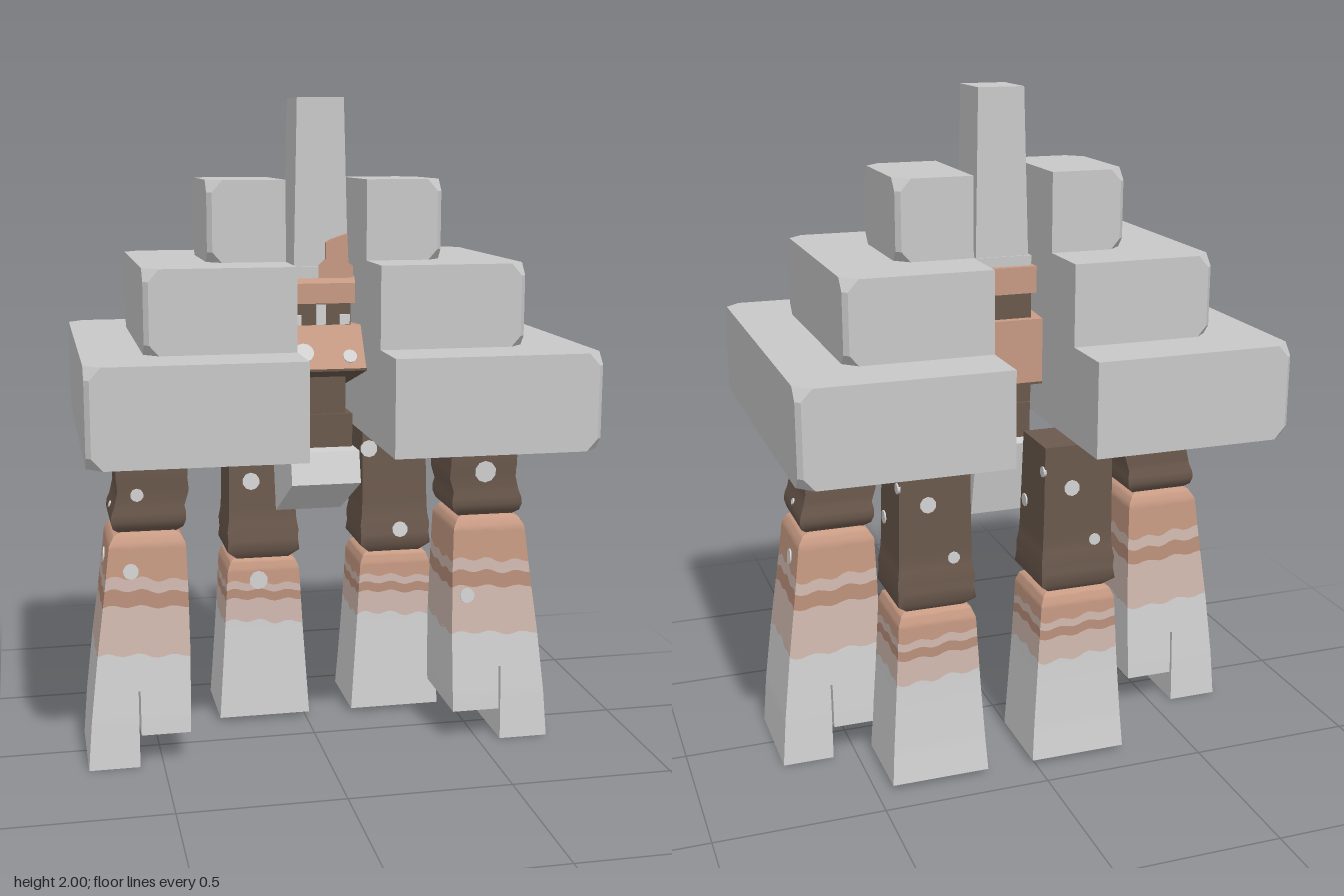
import * as THREE from 'three';
import { ConvexGeometry } from 'three/addons/geometries/ConvexGeometry.js';

const mat = (name, color) => {
  const m = new THREE.MeshStandardMaterial({ color });
  m.name = name;
  return m;
};

export function createModel() {
  const stone = mat('stone grey', 0xc8c8c8);
  const pale = mat('pale grey', 0xd3d3d3);
  const brown = mat('dark brown', 0x6b594d);
  const clay = mat('terracotta', 0xc79a83);
  const darkClay = mat('dark terracotta', 0xb98f7a);
  const pink = mat('dusty pink', 0xd0b9af);
  const root = new THREE.Group();
  root.name = 'steppedGolem';

  const add = (parent, name, geometry, material) => {
    const m = new THREE.Mesh(geometry, material);
    m.name = name;
    parent.add(m);
    return m;
  };

  // Side profile of [z, y] points, extruded between two x positions
  const prism = (parent, name, material, pts, x0, x1) => {
    const shape = new THREE.Shape(pts.map(([z, y]) => new THREE.Vector2(z, y)));
    const g = new THREE.ExtrudeGeometry(shape, { depth: x1 - x0, bevelEnabled: false });
    g.rotateY(-Math.PI / 2).translate(x1, 0, 0);
    return add(parent, name, g, material);
  };
  const block = (parent, name, material, x0, x1, y0, y1, z0, z1) =>
    prism(parent, name, material, [[z0, y0], [z1, y0], [z1, y1], [z0, y1]], x0, x1);

  // Stepped body: two halves, each with three tiers clipped at the outer corners
  const tier = (side, xOut, y0, y1, z) => {
    const pts = [], c = 0.045, e = 0.014;
    const p = (x, y, zz) => pts.push(new THREE.Vector3(side * x, y, zz));
    for (const s of [-1, 1]) {
      for (const [y, d] of [[y0, 1], [y1, -1]]) {
        p(0.12, y, s * z);
        p(xOut - c, y, s * z);
        p(xOut, y, s * (z - c));
        p(xOut - e, y + d * 0.035, s * z);
        p(xOut, y + d * 0.035, s * (z - e));
      }
    }
    return new ConvexGeometry(pts);
  };
  for (const side of [-1, 1]) {
    const half = new THREE.Group();
    half.name = side > 0 ? 'leftBodyHalf' : 'rightBodyHalf';
    root.add(half);
    add(half, 'lowerTier', tier(side, 0.725, 1.01, 1.29, 0.54), stone);
    add(half, 'middleTier', tier(side, 0.55, 1.285, 1.53, 0.362), stone);
    add(half, 'upperTier', tier(side, 0.348, 1.525, 1.765, 0.18), stone);
  }

  // Limb outline: stations of [y, x0, x1, z0, z1], interpolated by height
  const boundsAt = (st, y) => {
    let i = 0;
    while (i < st.length - 2 && y < st[i + 1][0]) i++;
    const a = st[i], b = st[i + 1];
    const t = THREE.MathUtils.clamp((a[0] - y) / (a[0] - b[0]), 0, 1);
    return [1, 2, 3, 4].map(k => a[k] + (b[k] - a[k]) * t);
  };
  const corner = ([x0, x1, z0, z1], s) => [[x0, z1], [x1, z1], [x1, z0], [x0, z0]][s % 4];
  const wave = (amp, p) => amp * (Math.sin(6 * Math.PI * p + 0.7) * 0.5 + Math.sin(22 * Math.PI * p) * 0.5);

  // Four-sided skin between two heights, with optional wavy borders and flat caps
  const skin = (st, yTop, yBot, ampTop = 0, ampBot = 0, caps = false) => {
    const pos = [], idx = [], cols = 14, rows = 14;
    for (let s = 0; s < 4; s++) {
      const base = pos.length / 3;
      for (let j = 0; j <= rows; j++) for (let i = 0; i <= cols; i++) {
        const t = i / cols, p = (s + t) / 4;
        const hi = yTop + wave(ampTop, p), lo = yBot + wave(ampBot, p);
        const y = hi + (lo - hi) * j / rows, b = boundsAt(st, y);
        const a = corner(b, s), c = corner(b, s + 1);
        pos.push(a[0] + (c[0] - a[0]) * t, y, a[1] + (c[1] - a[1]) * t);
        if (i < cols && j < rows) {
          const k = base + j * (cols + 1) + i, n = k + cols + 1;
          idx.push(k, n, k + 1, k + 1, n, n + 1);
        }
      }
    }
    if (caps) for (const [y, up] of [[yTop, true], [yBot, false]]) {
      const k = pos.length / 3, b = boundsAt(st, y);
      for (let s = 0; s < 4; s++) { const c = corner(b, s); pos.push(c[0], y, c[1]); }
      idx.push(...(up ? [k, k + 1, k + 2, k, k + 2, k + 3] : [k, k + 2, k + 1, k, k + 3, k + 2]));
    }
    const g = new THREE.BufferGeometry();
    g.setAttribute('position', new THREE.Float32BufferAttribute(pos, 3));
    g.setIndex(idx);
    g.computeVertexNormals();
    return g;
  };

  // Thin round spot on a limb; face is f, b, l (+x) or r (-x), u runs across the face
  const spot = (parent, st, face, u, y, r) => {
    const at = yy => {
      const [x0, x1, z0, z1] = boundsAt(st, yy);
      const x = x0 + (x1 - x0) * u, z = z0 + (z1 - z0) * u;
      return new THREE.Vector3(...{ f: [x, yy, z1], b: [x, yy, z0], l: [x1, yy, z], r: [x0, yy, z] }[face]);
    };
    const across = new THREE.Vector3(...{ f: [1, 0, 0], b: [-1, 0, 0], l: [0, 0, -1], r: [0, 0, 1] }[face]);
    const n = across.cross(at(y + 0.02).sub(at(y - 0.02))).normalize();
    const m = add(parent, 'spot', new THREE.CylinderGeometry(r, r, 0.009, 10), pale);
    m.position.copy(at(y));
    m.quaternion.setFromUnitVectors(new THREE.Vector3(0, 1, 0), n);
  };

  // Painted lower limb: bands of [material, top height, wave], ending at yEnd
  const bands = (parent, st, list, yEnd) => list.forEach(([m, y, amp], i) => {
    const next = list[i + 1] || [0, yEnd, 0];
    add(parent, 'lowerLimbBand', skin(st, y, next[1], amp, next[2], i === 0 || i === list.length - 1 && true), m);
  });

  // Arms, outlined for the +x side and flipped for the other
  const flip = (st, side) => side > 0 ? st : st.map(([y, a, b, c, d]) => [y, -b, -a, c, d]);
  const upperArm = [[1.02, 0.4, 0.62, -0.105, 0.115], [0.89, 0.41, 0.622, -0.105, 0.115],
    [0.85, 0.405, 0.618, -0.108, 0.112], [0.8, 0.42, 0.63, -0.108, 0.112], [0.77, 0.412, 0.642, -0.118, 0.118],
    [0.74, 0.42, 0.638, -0.112, 0.112], [0.715, 0.45, 0.61, -0.08, 0.08]];
  const lowerArm = [[0.727, 0.46, 0.6, -0.08, 0.08], [0.718, 0.435, 0.63, -0.105, 0.105],
    [0.69, 0.418, 0.648, -0.12, 0.124], [0.55, 0.414, 0.665, -0.128, 0.132], [0.35, 0.412, 0.692, -0.14, 0.145],
    [0.15, 0.415, 0.715, -0.15, 0.156], [0, 0.42, 0.727, -0.155, 0.16]];
  for (const side of [-1, 1]) {
    const arm = new THREE.Group();
    arm.name = side > 0 ? 'leftArm' : 'rightArm';
    root.add(arm);
    const up = flip(upperArm, side), low = flip(lowerArm, side);
    add(arm, 'upperArm', skin(up, 1.02, 0.715, 0, 0, true), brown);
    bands(arm, low, [[clay, 0.727, 0], [pink, 0.585, 0.014], [darkClay, 0.548, 0.012],
      [pink, 0.5, 0.01], [pale, 0.35, 0.012]], 0.24);
    // Hand: a short thumb on the inside and long fingers outside
    const thumb = flip(lowerArm.map(s => [s[0], s[1], 0.566, s[3], s[4]]), side);
    const fingers = flip(lowerArm.map(s => [s[0], 0.572, s[2], s[3], s[4]]), side);
    add(arm, 'thumb', skin(thumb, 0.24, 0.1, 0, 0, true), pale);
    add(arm, 'fingers', skin(fingers, 0.24, 0, 0, 0, true), pale);
    const out = side > 0 ? 'l' : 'r';
    spot(arm, up, 'f', side > 0 ? 0.53 : 0.28, side > 0 ? 0.865 : 0.84, side > 0 ? 0.034 : 0.02);
    spot(arm, up, out, 0.5, 0.79, 0.01);
    spot(arm, up, 'b', 0.4, 0.88, 0.022);
    spot(arm, low, 'f', side > 0 ? 0.18 : 0.3, side > 0 ? 0.475 : 0.61, 0.024);
    spot(arm, low, out, 0.4, 0.625, 0.024);
  }

  // Rear legs, outlined around x = 0
  const thigh = [[1.0, -0.105, 0.105, -0.37, -0.19], [0.8, -0.107, 0.107, -0.37, -0.175],
    [0.68, -0.109, 0.109, -0.368, -0.168], [0.64, -0.116, 0.116, -0.378, -0.16], [0.61, -0.113, 0.113, -0.372, -0.158],
    [0.58, -0.12, 0.12, -0.386, -0.15], [0.555, -0.11, 0.11, -0.375, -0.155], [0.54, -0.08, 0.08, -0.35, -0.18]];
  const shin = [[0.55, -0.08, 0.08, -0.345, -0.19], [0.54, -0.105, 0.105, -0.37, -0.165],
    [0.51, -0.117, 0.117, -0.382, -0.156], [0.3, -0.129, 0.129, -0.386, -0.153], [0.12, -0.141, 0.141, -0.393, -0.148],
    [0.015, -0.148, 0.148, -0.402, -0.145]];
  for (const cx of [-0.137, 0.302]) {
    const leg = new THREE.Group();
    leg.name = cx > 0 ? 'leftLeg' : 'rightLeg';
    leg.position.x = cx;
    root.add(leg);
    add(leg, 'thigh', skin(thigh, 1.0, 0.54, 0, 0, true), brown);
    bands(leg, shin, [[clay, 0.55, 0], [pink, 0.465, 0.012], [darkClay, 0.44, 0.01],
      [pink, 0.41, 0.01], [pale, 0.335, 0.014]], 0.015);
    spot(leg, thigh, 'f', cx > 0 ? 0.1 : 0.33, cx > 0 ? 0.89 : 0.8, 0.028);
    if (cx > 0) spot(leg, thigh, 'f', 0.57, 0.62, 0.026);
    else spot(leg, shin, 'f', 0.43, 0.475, 0.03);
    spot(leg, thigh, 'l', 0.8, 0.79, 0.02);
    spot(leg, thigh, 'l', 0.07, 0.925, 0.016);
    spot(leg, thigh, 'r', 0.4, 0.85, 0.022);
    spot(leg, thigh, 'b', 0.6, 0.87, 0.024);
    spot(leg, thigh, 'b', 0.25, 0.7, 0.018);
  }

  // Central spine and upturned head in the gap between the halves
  const core = new THREE.Group();
  core.name = 'core';
  root.add(core);
  prism(core, 'pelvis', pale, [[-0.1, 0.72], [0.19, 0.865], [0.165, 0.96], [-0.155, 0.95]], -0.105, 0.105);
  block(core, 'lowerSpine', brown, -0.085, 0.1, 0.93, 1.06, -0.1, 0.09);
  block(core, 'upperSpine', brown, -0.09, 0.08, 1.06, 1.18, -0.09, 0.08);
  prism(core, 'muzzle', clay, [[-0.11, 1.125], [0.2, 1.215], [0.12, 1.335], [-0.11, 1.32]], -0.12, 0.117);
  prism(core, 'muzzleUnderside', brown, [[-0.11, 1.118], [0.2, 1.208], [0.2, 1.215], [-0.11, 1.125]], -0.122, 0.119);
  block(core, 'mouth', brown, -0.09, 0.09, 1.31, 1.41, -0.09, 0.1);
  for (const [x, h] of [[-0.075, 0.03], [0, 0.06], [0.072, 0.03]])
    block(core, 'tooth', pale, x - 0.015, x + 0.015, 1.335, 1.335 + h, 0.098, 0.106);
  prism(core, 'brow', clay, [[-0.11, 1.4], [0.12, 1.4], [0.12, 1.46], [0.105, 1.48], [-0.11, 1.48]], -0.1, 0.1);
  for (const [x, y, r] of [[-0.065, 1.26, 0.03], [0.072, 1.248, 0.021]]) {
    const m = add(core, 'muzzleSpot', new THREE.CylinderGeometry(r, r, 0.008, 12), pale);
    m.position.set(x, y, 0.12 + (1.335 - y) * 2 / 3);
    m.rotation.x = Math.atan2(0.12, 0.08);
  }

  // Tall obelisk with a base plate and a stepped crest on one side
  block(core, 'obeliskBase', stone, -0.09, 0.088, 1.475, 1.51, -0.09, 0.112);
  const ob = [[2, -0.07, 0.07, -0.075, 0.09], [1.5, -0.082, 0.082, -0.085, 0.1]];
  add(core, 'obelisk', skin(ob, 2, 1.5, 0, 0, true), stone);
  const crest = new THREE.Shape([[-0.01, 1.475], [0.094, 1.475], [0.094, 1.51], [0.08, 1.52], [0.076, 1.605],
    [0.03, 1.59], [0.012, 1.58], [0.012, 1.53], [-0.01, 1.51]].map(p => new THREE.Vector2(...p)));
  add(core, 'crest', new THREE.ExtrudeGeometry(crest, { depth: 0.03, bevelEnabled: false }), clay).position.z = 0.086;
  return root;
}
